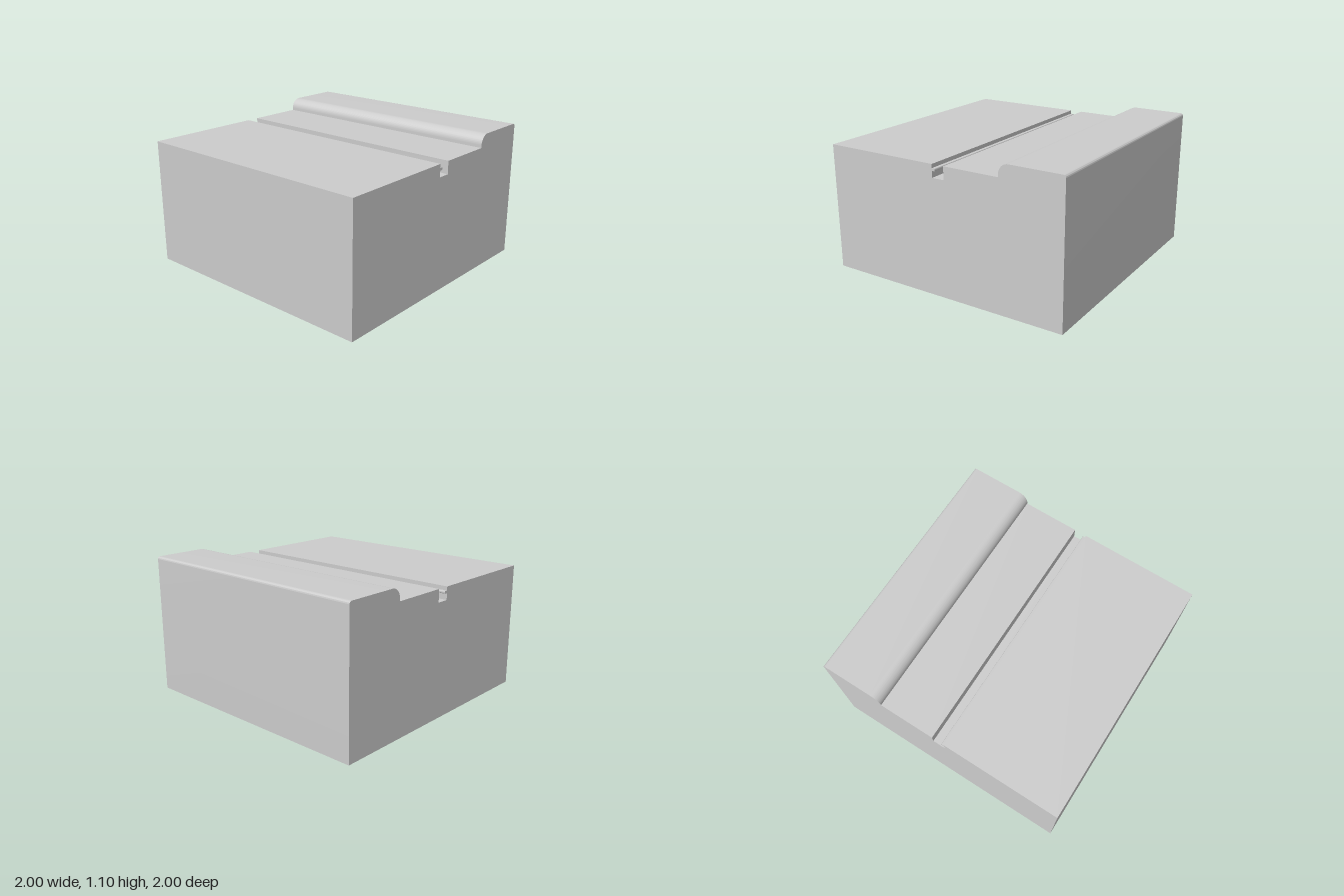
import * as THREE from 'three';
import { toCreasedNormals } from 'three/addons/utils/BufferGeometryUtils.js';

// Cross-section in x/y, counter-clockwise from the lower right-hand corner
function blockProfile() {
  const s = new THREE.Shape();
  s.moveTo(-1, 0);
  s.lineTo(1, 0);
  // raised ledge: small outer rounding, large inner rounding
  s.lineTo(1, 1.08);
  s.absarc(0.98, 1.08, 0.02, 0, Math.PI / 2, false);
  s.lineTo(0.58, 1.1);
  s.absarc(0.58, 1.02, 0.08, Math.PI / 2, Math.PI, false);
  s.lineTo(0.5, 1);
  // groove with a thin lip on its -x wall
  s.lineTo(0.05, 1);
  s.lineTo(0.05, 0.9);
  s.lineTo(-0.05, 0.9);
  s.lineTo(-0.05, 0.95);
  s.lineTo(-0.03, 0.95);
  s.absarc(-0.03, 0.955, 0.005, -Math.PI / 2, 0, false);
  s.lineTo(-0.025, 0.965);
  s.absarc(-0.03, 0.965, 0.005, 0, Math.PI / 2, false);
  s.lineTo(-0.05, 0.97);
  s.lineTo(-0.05, 1);
  s.lineTo(-1, 1);
  s.closePath();
  return s;
}

// Drops the triangles lying on y = 0, leaving the shell open underneath
function openBottom(geometry) {
  const p = geometry.attributes.position;
  const kept = [];
  for (let i = 0; i < p.count; i += 3) {
    if (Math.max(p.getY(i), p.getY(i + 1), p.getY(i + 2)) < 1e-6) continue;
    for (let k = i; k < i + 3; k++) kept.push(p.getX(k), p.getY(k), p.getZ(k));
  }
  const open = new THREE.BufferGeometry();
  open.setAttribute('position', new THREE.Float32BufferAttribute(kept, 3));
  return open;
}

export function createModel() {
  const group = new THREE.Group();
  group.name = 'groovedBlock';

  const solid = new THREE.ExtrudeGeometry(blockProfile(), {
    depth: 2, bevelEnabled: false, curveSegments: 12,
  });
  solid.translate(0, 0, -1);

  const shell = new THREE.Mesh(
    toCreasedNormals(openBottom(solid), Math.PI / 6),
    new THREE.MeshStandardMaterial({ color: 0xcccccc, side: THREE.DoubleSide })
  );
  shell.name = 'blockShell';
  group.add(shell);
  return group;
}
